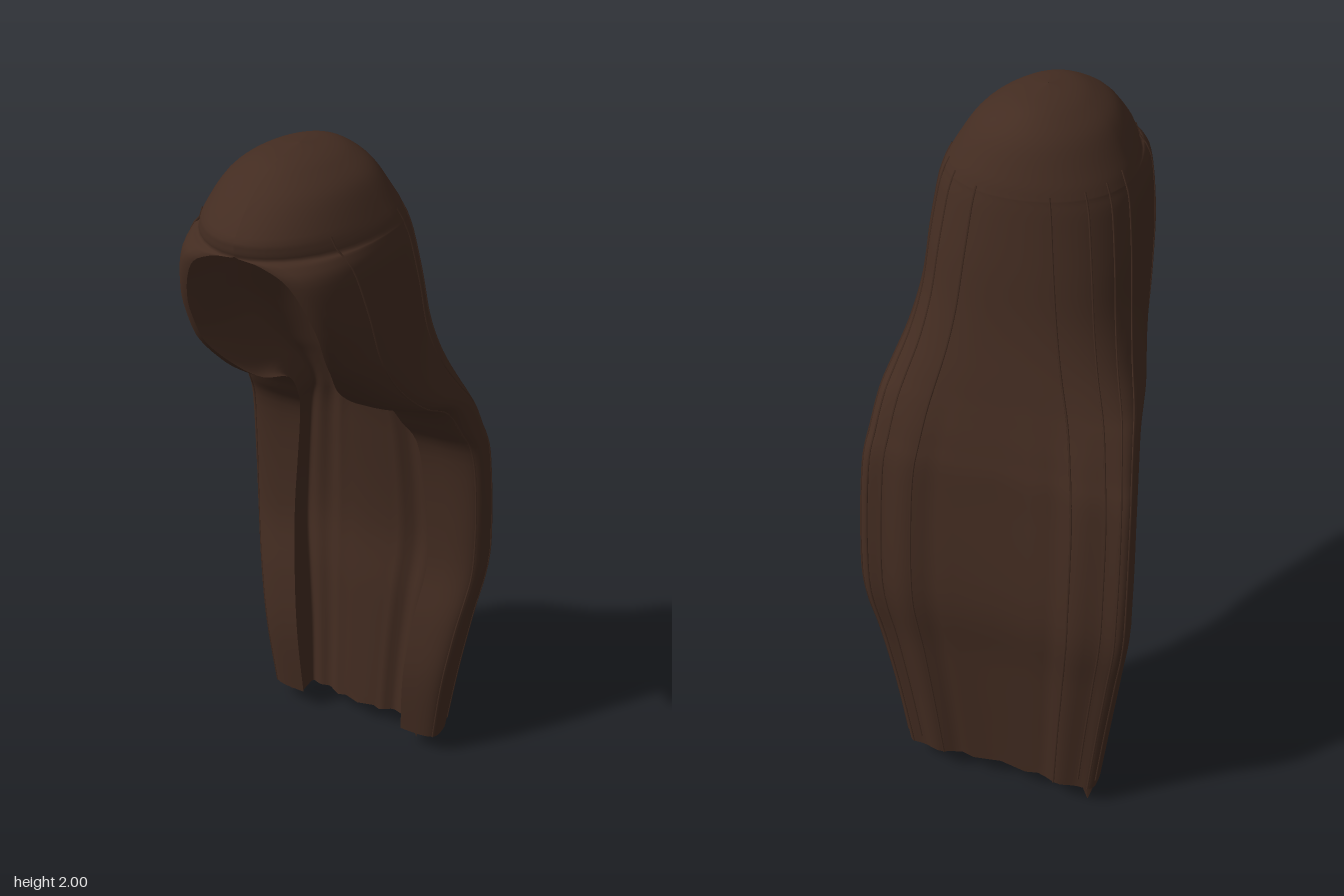
import * as THREE from 'three';

// Horizontal slices, top to bottom:
// y, xi (opening half width), xo (outer half width), zf (front edge), zm (widest point), zb (back)
const SLICES = [
  [2.0, 0, 0.001, 0.081, 0.08, 0.079],
  [1.99, 0, 0.06, 0.175, 0.08, -0.025],
  [1.97, 0, 0.11, 0.235, 0.07, -0.08],
  [1.93, 0, 0.165, 0.305, 0.06, -0.125],
  [1.86, 0, 0.212, 0.373, 0.04, -0.162],
  [1.825, 0, 0.23, 0.37, 0.03, -0.175],
  [1.813, 0.065, 0.235, 0.367, 0.03, -0.178],
  [1.77, 0.132, 0.247, 0.353, 0.02, -0.187],
  [1.65, 0.175, 0.264, 0.31, 0, -0.208],
  [1.52, 0.178, 0.277, 0.248, -0.02, -0.226],
  [1.41, 0.15, 0.298, 0.15, -0.07, -0.247],
  [1.32, 0.143, 0.325, 0.03, -0.14, -0.27],
  [1.26, 0.145, 0.34, -0.1, -0.2, -0.29],
  [1.17, 0.16, 0.353, -0.175, -0.245, -0.322],
  [1.05, 0.19, 0.366, -0.235, -0.29, -0.353],
  [0.72, 0.22, 0.372, -0.252, -0.32, -0.386],
  [0.5, 0.2, 0.343, -0.215, -0.29, -0.368],
  [0.3, 0.182, 0.315, -0.197, -0.27, -0.354],
  [0.07, 0.172, 0.287, -0.215, -0.265, -0.338],
];
const STEPS = 5, FRONT = 10, BACK = 16, RIM = 1.825;
const { lerp, smoothstep } = THREE.MathUtils;

// Smooth in-between slices
function smoothSlices() {
  const rows = [];
  const at = i => SLICES[Math.max(0, Math.min(SLICES.length - 1, i))];
  for (let i = 0; i < SLICES.length - 1; i++) {
    for (let s = 0; s < STEPS; s++) {
      const t = s / STEPS;
      rows.push(at(i).map((b, k) => {
        const a = at(i - 1)[k], c = at(i + 1)[k], d = at(i + 2)[k];
        const v = b + 0.5 * t * (c - a + t * (2 * a - 5 * b + 4 * c - d + t * (3 * (b - c) + d - a)));
        return Math.max(Math.min(b, c), Math.min(Math.max(b, c), v));
      }));
    }
  }
  rows.push(at(SLICES.length - 1));
  return rows;
}

// One slice from the left front edge, round the back, to the right front edge
function section([y, xi, xo, zf, zm, zb], inner) {
  // round hood above, squarer and hollow-backed below, with full locks at the sides
  const frontPower = lerp(0.55, 1, smoothstep(y, 1.0, 1.55));
  const backPower = lerp(0.55, 1, smoothstep(y, 1.0, 1.98));
  const dent = 0.034 * (1 - smoothstep(y, 1.0, 1.4));
  const thick = lerp(0.042, 0.03, smoothstep(y, 1.0, 1.4));
  const lining = lerp(xi + 0.005, xo * 0.9, smoothstep(y, 1.15, 1.55));
  const width = inner ? lining : xo;
  const back = inner ? zb + Math.min(thick, (zm - zb) * 0.6) : zb;
  const front = inner ? zf - Math.max(0, Math.min(thick, y - RIM, (zf - zm) * 0.4)) : zf;
  const pow = (v, p) => Math.pow(Math.max(v, 0), p);
  const half = [];
  for (let i = 0; i <= FRONT; i++) {
    const a = (i / FRONT) * Math.PI / 2;
    half.push([xi + (width - xi) * pow(Math.sin(a), frontPower), zm + (front - zm) * pow(Math.cos(a), frontPower)]);
  }
  for (let i = 1; i <= BACK; i++) {
    const b = (i / BACK) * Math.PI / 2;
    const s = pow(Math.sin(b), backPower), u = pow(Math.cos(b), backPower);
    // shallow waves of hair on the lower back
    const wave = dent * s * (1 - u * u + 0.22 * Math.cos(u * 15));
    half.push([width * u, zm + (back - zm) * s + wave]);
  }
  const mirrored = half.slice(0, -1).reverse().map(([x, z]) => [-x, z]);
  return [...half, ...mirrored].map(([x, z]) => new THREE.Vector3(x, y, z));
}

// Skin a list of equally long point rows
function loft(rows, flip) {
  const n = rows[0].length, index = [];
  for (let j = 0; j < rows.length - 1; j++) {
    for (let i = 0; i < n - 1; i++) {
      const a = j * n + i, b = a + 1, c = a + n, d = c + 1;
      if (flip) index.push(a, b, c, b, d, c);
      else index.push(a, c, b, b, c, d);
    }
  }
  const geometry = new THREE.BufferGeometry().setFromPoints(rows.flat());
  geometry.setIndex(index);
  geometry.computeVertexNormals();
  return geometry;
}

export function createModel() {
  const group = new THREE.Group();
  const hair = new THREE.MeshStandardMaterial({ color: 0x432c21, side: THREE.DoubleSide });
  hair.name = 'dark brown hair';
  const add = (name, geometry) => {
    const mesh = new THREE.Mesh(geometry, hair);
    mesh.name = name;
    group.add(mesh);
    return mesh;
  };

  const slices = smoothSlices();
  const outer = slices.map(s => section(s, false));
  const inner = slices.map(s => section(s, true));
  const last = slices.length - 1;

  // Outer hair, inner lining, and the hem closing the bottom between them
  add('outerHair', loft(outer, false));
  add('innerHair', loft(inner, true));
  add('hem', loft([outer[last], inner[last]], false));

  // Fine ridges between the locks down the sides and back
  const count = outer[0].length;
  [6, 12, 15, 18, 22].forEach((k, n) => {
    [k, count - 1 - k].forEach(i => {
      const path = outer.slice(20 + n, last + 1).filter((_, j) => j % 2 === 0).map(r => r[i]);
      add('lockRidge', new THREE.TubeGeometry(new THREE.CatmullRomCurve3(path), 70, 0.003, 4));
    });
  });

  // Ragged lock tips under the hem: x, z, width, length
  [[0.205, -0.26, 0.025, 0.055], [-0.262, -0.285, 0.03, 0.07], [-0.235, -0.25, 0.025, 0.04]].forEach(([x, z, w, h]) => {
    const tip = add('lockTip', new THREE.ConeGeometry(w, h + 0.02, 6));
    tip.rotation.x = Math.PI;
    tip.position.set(x, 0.09 - (h + 0.02) / 2, z);
    tip.scale.z = 0.6;
  });
  return group;
}
